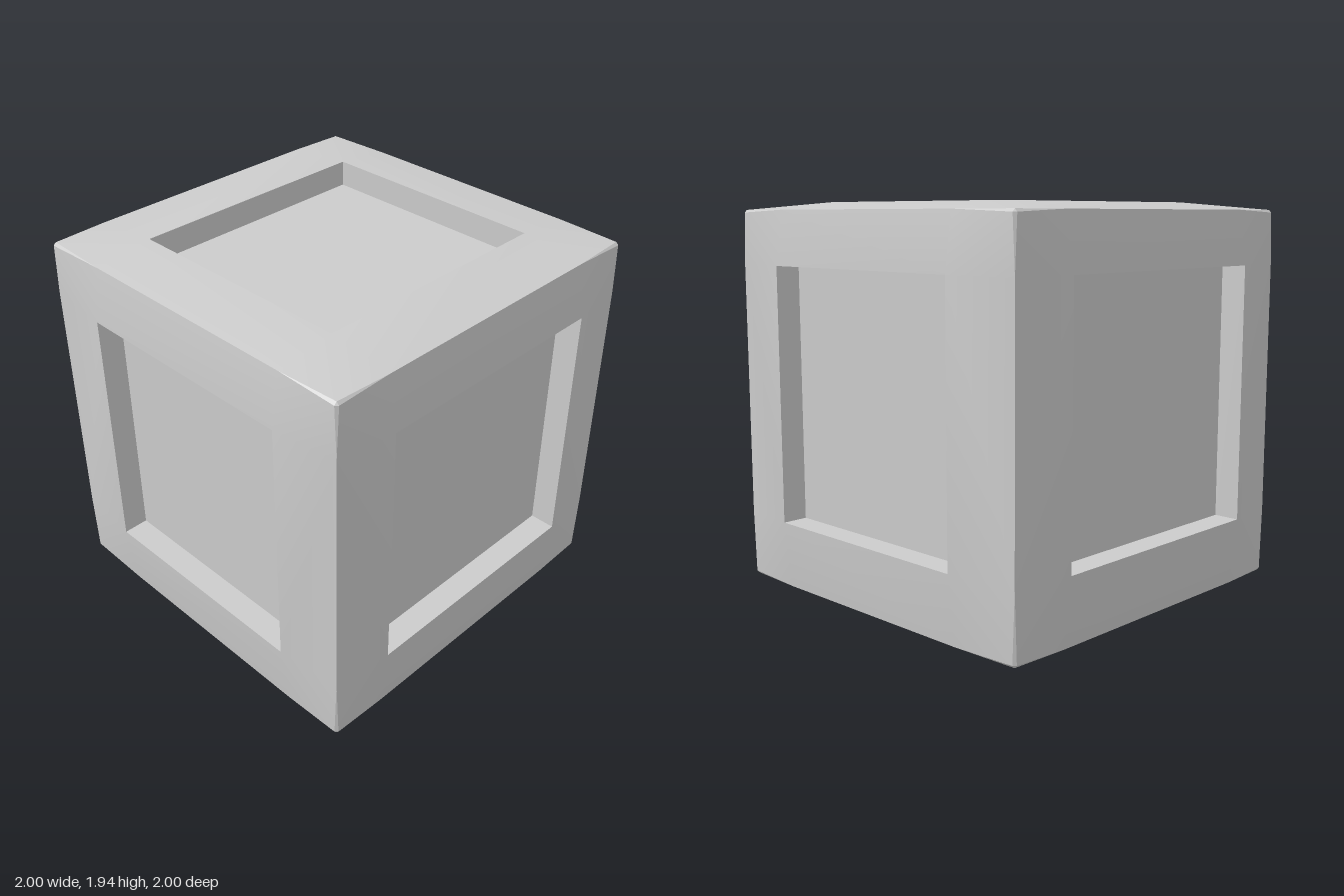
import * as THREE from 'three';

const LO = [-0.573, -0.595, -0.625]; // recess limits along x, y, z
const HI = [0.606, 0.665, 0.635];
const FACE = 0.968, EDGE = 0.93, CORNER = 0.917, FLOOR = 0.84;
const material = new THREE.MeshStandardMaterial({ color: 0xcccccc });

const geometryOf = (points, index) => {
  const g = new THREE.BufferGeometry();
  g.setAttribute('position', new THREE.Float32BufferAttribute(points.flat(), 3));
  if (index) g.setIndex(index);
  g.computeVertexNormals();
  return g;
};

// Flat triangle turned so that it faces along the given direction
function addTriangle(list, a, b, c, dir) {
  const [A, B, C] = [a, b, c].map(p => new THREE.Vector3(...p));
  const n = B.sub(A).cross(C.sub(A));
  list.push(...(n.dot(new THREE.Vector3(...dir)) >= 0 ? [a, b, c] : [a, c, b]));
}

function addQuad(list, a, b, c, d, dir) {
  addTriangle(list, a, b, c, dir);
  addTriangle(list, a, c, d, dir);
}

// One side of the cube: bulging smooth frame and sunken panel
function makeSide(axis, sign, name) {
  const u = (axis + 1) % 3, v = (axis + 2) % 3;
  const at = (pu, pv, h) => {
    const p = [0, 0, 0];
    p[u] = pu; p[v] = pv; p[axis] = h * sign;
    return p;
  };
  const side = new THREE.Group();
  side.name = name + 'Side';

  // Frame: 4 x 4 grid without its middle cell
  const points = [], index = [];
  const outer = i => i === 0 || i === 3;
  for (let j = 0; j < 4; j++) for (let i = 0; i < 4; i++) {
    const rim = outer(i) && outer(j) ? CORNER : EDGE;
    const along = (k, ax) => [-rim, LO[ax], HI[ax], rim][k];
    points.push(at(along(i, u), along(j, v), outer(i) || outer(j) ? EDGE : FACE));
  }
  for (let j = 0; j < 3; j++) for (let i = 0; i < 3; i++) {
    if (i === 1 && j === 1) continue;
    const a = j * 4 + i, b = a + 1, c = a + 5, d = a + 4;
    // diagonals run from the cube corners to the recess corners
    const tris = i === j || (i === 1 || j === 1) ? [[a, b, c], [a, c, d]] : [[a, b, d], [b, c, d]];
    for (const [p, q, r] of tris) index.push(...(sign > 0 ? [p, q, r] : [p, r, q]));
  }
  const frame = new THREE.Mesh(geometryOf(points, index), material);
  frame.name = name + 'Frame';

  // Recess walls and floor
  const ring = [[LO[u], LO[v]], [HI[u], LO[v]], [HI[u], HI[v]], [LO[u], HI[v]]];
  const flat = [];
  addQuad(flat, ...ring.map(([p, q]) => at(p, q, FLOOR)), at(0, 0, 1));
  ring.forEach(([p, q], k) => {
    const [r, s] = ring[(k + 1) % 4];
    addQuad(flat, at(p, q, FACE), at(r, s, FACE), at(r, s, FLOOR), at(p, q, FLOOR), at(-(p + r), -(q + s), 0));
  });
  const recess = new THREE.Mesh(geometryOf(flat), material);
  recess.name = name + 'Recess';
  side.add(frame, recess);
  return side;
}

// Tiny tapering chamfers that close the eight corners
function makeCorners() {
  const list = [];
  for (const x of [-1, 1]) for (const y of [-1, 1]) for (const z of [-1, 1]) {
    const s = [x, y, z];
    const tips = [0, 1, 2].map(a => s.map((q, k) => q * (k === a ? EDGE : CORNER)));
    addTriangle(list, ...tips, s);
    for (let k = 0; k < 3; k++) {
      const kink = s.map((q, m) => (m === k ? (q > 0 ? HI[k] : LO[k]) : q * EDGE));
      addTriangle(list, kink, tips[(k + 1) % 3], tips[(k + 2) % 3], s);
    }
  }
  const mesh = new THREE.Mesh(geometryOf(list), material);
  mesh.name = 'cornerChamfers';
  return mesh;
}

export function createModel() {
  const model = new THREE.Group();
  model.name = 'panelledCube';
  const cube = new THREE.Group();
  cube.name = 'cube';
  const names = [['right', 'left'], ['bottom', 'top'], ['back', 'front']];
  names.forEach(([neg, pos], axis) => cube.add(makeSide(axis, -1, neg), makeSide(axis, 1, pos)));
  cube.add(makeCorners());
  // Slight turn about the upright axis
  cube.rotation.y = -0.054;
  cube.position.y = FACE;
  model.add(cube);
  return model;
}
